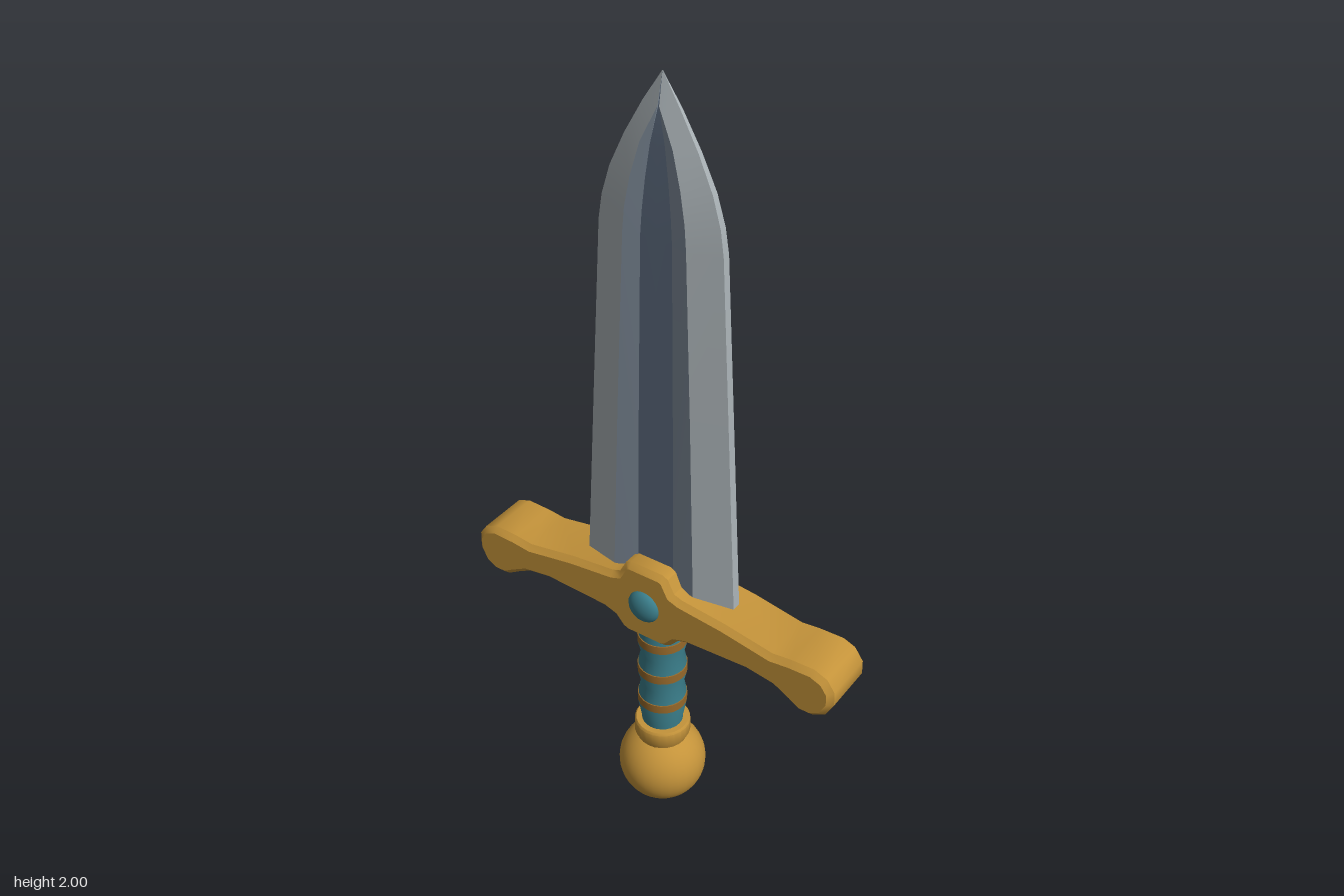
import * as THREE from 'three';
import { toCreasedNormals } from 'three/addons/utils/BufferGeometryUtils.js';

const paint = (name, color) => {
  const m = new THREE.MeshStandardMaterial({ color });
  m.name = name;
  return m;
};

export function createModel() {
  const gold = paint('gold', 0xc4933a);
  const bronze = paint('bronze', 0x96682a);
  const teal = paint('teal', 0x3b7f8c);
  const steel = paint('steel', 0xa9b1b5);
  const blueSteel = paint('blue steel', 0x7f8c9a);
  const darkSteel = paint('dark steel', 0x5a687b);

  const model = new THREE.Group();
  model.name = 'dagger';
  const add = (name, geometry, material, parent = model) => {
    const mesh = new THREE.Mesh(geometry, material);
    mesh.name = name;
    parent.add(mesh);
    return mesh;
  };

  // Blade stations: y, half width, edge z, ridge x, ridge z, groove x, groove z
  const stations = [
    [0.70, 0.212, 0.012, 0.115, 0.040, 0.051, 0.030],
    [1.20, 0.183, 0.011, 0.098, 0.036, 0.046, 0.027],
    [1.64, 0.157, 0.010, 0.080, 0.032, 0.040, 0.024],
    [1.70, 0.148, 0.009, 0.075, 0.031, 0.036, 0.023],
    [1.77, 0.127, 0.008, 0.062, 0.028, 0.029, 0.021],
    [1.85, 0.090, 0.006, 0.040, 0.023, 0.018, 0.018],
    [1.93, 0.045, 0.004, 0.002, 0.015, 0.001, 0.014],
    [2.00, 0.000, 0.000, 0.000, 0.000, 0.000, 0.000],
  ];
  const section = ([y, w, ez, rx, rz, gx, gz]) =>
    [[w, 0], [w, ez], [rx, rz], [gx, gz], [0, gz]].map(([x, z]) => new THREE.Vector3(x, y, z));
  const rings = stations.map(section);

  // One lengthwise band of the blade, mirrored to all four quarters
  const bladeBand = (k) => {
    const out = [];
    const tri = new THREE.Triangle();
    for (const sx of [1, -1]) for (const sz of [1, -1]) {
      const side = new THREE.Vector3(sx, 1, sz);
      const push = (...corners) => {
        const p = corners.map((v) => v.clone().multiply(side));
        if (sx * sz < 0) p.reverse();
        if (tri.set(...p).getArea() > 1e-8) p.forEach((v) => out.push(v.x, v.y, v.z));
      };
      for (let i = 0; i < rings.length - 1; i++) {
        const a = rings[i], b = rings[i + 1];
        push(a[k + 1], a[k], b[k]);
        push(a[k + 1], b[k], b[k + 1]);
      }
    }
    const g = new THREE.BufferGeometry();
    g.setAttribute('position', new THREE.Float32BufferAttribute(out, 3));
    return toCreasedNormals(g, 0.25);
  };
  const blade = new THREE.Group();
  blade.name = 'blade';
  model.add(blade);
  add('bladeEdge', bladeBand(0), steel, blade);
  add('bladeBevel', bladeBand(1), steel, blade);
  add('grooveSide', bladeBand(2), blueSteel, blade);
  add('grooveFloor', bladeBand(3), darkSteel, blade);

  // Crossguard: half outline from top centre round to bottom centre, mirrored
  const half = [
    [0.045, 0.795], [0.06, 0.787], [0.078, 0.752], [0.10, 0.744], [0.22, 0.731], [0.35, 0.708],
    [0.40, 0.714], [0.46, 0.716], [0.495, 0.702], [0.516, 0.672], [0.517, 0.635], [0.497, 0.596],
    [0.465, 0.578], [0.43, 0.578], [0.40, 0.597], [0.36, 0.619], [0.29, 0.630], [0.12, 0.622],
    [0.09, 0.612], [0.068, 0.587], [0.05, 0.579],
  ];
  const outline = [...half, ...half.map(([x, y]) => [-x, y]).reverse()]
    .map(([x, y]) => new THREE.Vector2(x, y)).reverse();
  const guard = new THREE.ExtrudeGeometry(new THREE.Shape(outline), {
    depth: 0.13, bevelThickness: 0.014, bevelSize: 0.014, bevelOffset: -0.014, bevelSegments: 1,
  });
  guard.translate(0, 0, -0.065);
  add('crossguard', toCreasedNormals(guard, 0.6), gold);

  // Gem on both faces of the guard
  for (const s of [1, -1]) {
    const gem = add(s > 0 ? 'frontGem' : 'backGem', new THREE.SphereGeometry(0.044, 20, 14), teal);
    gem.scale.z = 0.55;
    gem.position.set(0, 0.686, s * 0.076);
  }

  // Grip: sections that swell towards each band
  const lathe = (points) => toCreasedNormals(
    new THREE.LatheGeometry(points.map(([r, y]) => new THREE.Vector2(r, y)), 24), 0.6);
  const bands = [0.34, 0.44, 0.54];
  const profile = [[0.053, 0.24], [0.053, 0.27]];
  for (const y of bands) {
    profile.push([0.062, y - 0.018], [0.060, y], [0.061, y + 0.015], [0.054, y + 0.05]);
  }
  profile.push([0.057, 0.64]);
  add('grip', lathe(profile), teal);
  for (const y of bands) {
    add('gripBand', lathe([[0.055, y - 0.014], [0.063, y - 0.012], [0.063, y + 0.012], [0.055, y + 0.014]]), bronze);
  }

  // Collar and ball pommel
  add('collar', lathe([
    [0.04, 0.262], [0.068, 0.262], [0.072, 0.256], [0.072, 0.222], [0.066, 0.212], [0.062, 0.18],
  ].reverse()), gold);
  add('pommel', new THREE.SphereGeometry(0.113, 32, 24), gold).position.y = 0.115;

  return model;
}
